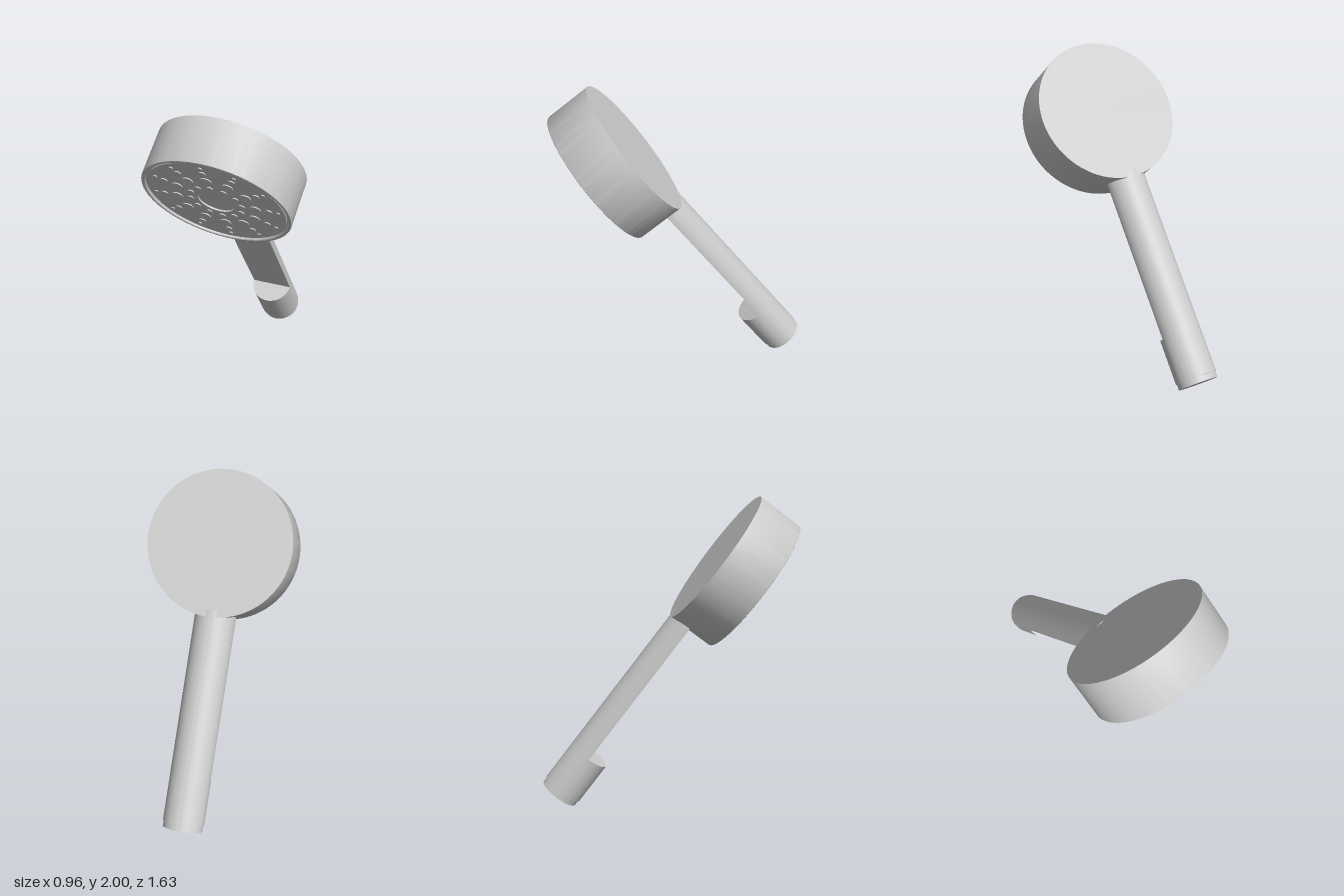
import * as THREE from 'three';
import { toCreasedNormals } from 'three/addons/utils/BufferGeometryUtils.js';

const HEAD_R = 0.47, HEAD_T = 0.31;
const GRIP_R = 0.134, GRIP_X = -0.02, GRIP_Z = 0.13;
const FACE_Z = 0.3;

export function createModel() {
  const group = new THREE.Group();
  group.name = 'handShower';
  const material = new THREE.MeshStandardMaterial({ color: 0xcccccc });

  // Tilted frame: local y runs up the handle, local z out of the spray face
  const body = new THREE.Group();
  body.name = 'tiltedBody';
  const up = new THREE.Vector3(0.071, 0.797, 0.6).normalize();
  const right = new THREE.Vector3().crossVectors(up, new THREE.Vector3(0.065, -0.6, 0.797)).normalize();
  const out = new THREE.Vector3().crossVectors(right, up);
  body.quaternion.setFromRotationMatrix(new THREE.Matrix4().makeBasis(right, up, out));
  body.position.set(-0.01, 1.625, 0.285);
  group.add(body);

  const add = (name, geometry, x = 0, y = 0, z = 0, parent = body) => {
    const mesh = new THREE.Mesh(geometry, material);
    mesh.name = name;
    mesh.position.set(x, y, z);
    parent.add(mesh);
    return mesh;
  };

  // Profile of [radius, depth] pairs turned around local z, with sharp edges kept
  const turned = (profile, segments = 96) => {
    const points = profile.map(([r, d]) => new THREE.Vector2(r, d));
    const g = new THREE.LatheGeometry(points, segments).rotateX(Math.PI / 2);
    return toCreasedNormals(g, 0.5);
  };

  // Head: flat back, straight wall, rounded lip, groove and recessed spray face
  add('head', turned([
    [0, 0], [HEAD_R, 0], [HEAD_R, 0.302], [0.467, 0.308], [0.462, HEAD_T],
    [0.452, HEAD_T], [0.447, 0.306], [0.444, 0.292], [0.436, 0.292], [0.434, FACE_Z],
    [0.115, FACE_Z], [0.113, 0.29], [0, 0.286],
  ]));

  // Spray nozzles: twelve rays of four studs, [distance, radius]
  const nozzles = new THREE.Group();
  nozzles.name = 'nozzles';
  body.add(nozzles);
  const studs = [[0.163, 0.021], [0.25, 0.036], [0.335, 0.022], [0.392, 0.013]];
  for (const [distance, radius] of studs) {
    const stud = new THREE.CylinderGeometry(radius * 0.95, radius, 0.012, 20).rotateX(Math.PI / 2);
    for (let i = 0; i < 12; i++) {
      const a = (i / 12) * Math.PI * 2;
      add('nozzle', stud, Math.sin(a) * distance, Math.cos(a) * distance, FACE_Z, nozzles);
    }
  }

  // Length of handle with a round section, optionally cut flat on the front
  const rod = (radius, length, flat) => {
    const shape = new THREE.Shape();
    if (flat === undefined) {
      shape.absarc(0, 0, radius, 0, Math.PI * 2, false);
    } else {
      const a = Math.asin(flat / radius);
      shape.absarc(0, 0, radius, -a, Math.PI + a, false);
      shape.closePath();
    }
    const g = new THREE.ExtrudeGeometry(shape, { depth: length, bevelEnabled: false, curveSegments: 48 });
    return toCreasedNormals(g.rotateX(-Math.PI / 2), 0.5);
  };

  // Handle with flat front, round lower end and hose cap
  add('handle', rod(GRIP_R, 1.09, 0.0), GRIP_X, -1.51, GRIP_Z);
  add('handleEnd', rod(GRIP_R, 0.29), GRIP_X, -1.8, GRIP_Z);
  add('endCap', rod(0.128, 0.05), GRIP_X, -1.84, GRIP_Z);

  return group;
}
